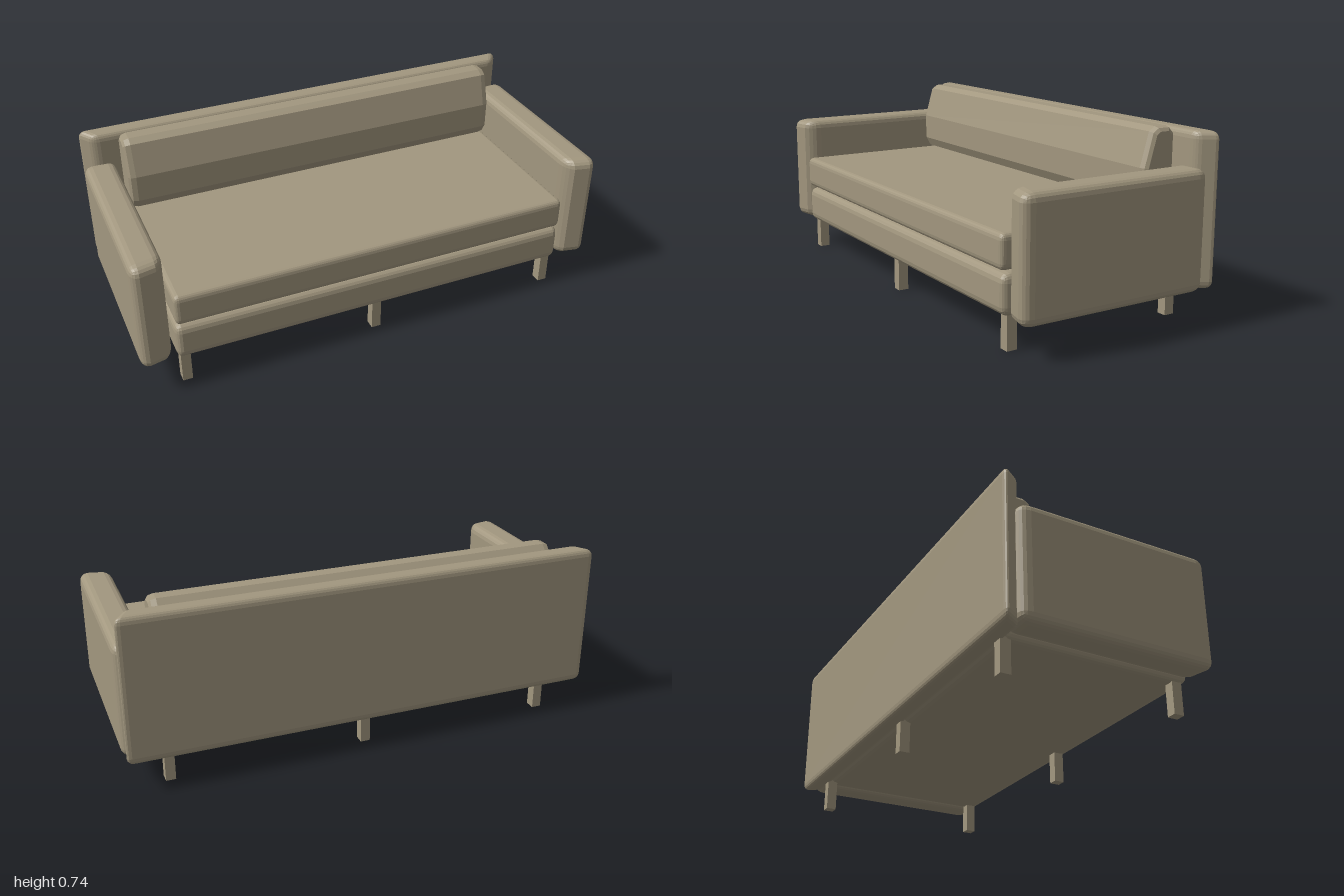
import * as THREE from 'three';
import { RoundedBoxGeometry } from 'three/addons/geometries/RoundedBoxGeometry.js';

const fabric = new THREE.MeshStandardMaterial({ color: 0xa2977f });
fabric.name = 'taupe';

// Soft box between two corners, with a separate rounding radius per axis
// and an optional rule that moves its vertices; faceted normals.
function softBox(name, min, max, radii, rule) {
  const size = max.map((v, i) => v - min[i]);
  const [rx, ry, rz] = radii;
  const geo = new RoundedBoxGeometry(size[0] / rx, size[1] / ry, size[2] / rz, 2, 1);
  geo.scale(rx, ry, rz);
  geo.translate(...min.map((v, i) => (v + max[i]) / 2));
  if (rule) {
    const pos = geo.attributes.position;
    const v = new THREE.Vector3();
    for (let i = 0; i < pos.count; i++) {
      rule(v.fromBufferAttribute(pos, i));
      pos.setXYZ(i, v.x, v.y, v.z);
    }
  }
  geo.computeVertexNormals();
  const mesh = new THREE.Mesh(geo, fabric);
  mesh.name = name;
  return mesh;
}

export function createModel() {
  const sofa = new THREE.Group();
  sofa.name = 'sofa';

  // Base and seat cushion
  sofa.add(softBox('base', [-0.855, 0.13, -0.37], [0.855, 0.288, 0.425], [0.025, 0.035, 0.035]));
  sofa.add(softBox('seatCushion', [-0.85, 0.298, -0.355], [0.85, 0.432, 0.43], [0.02, 0.025, 0.02]));

  // Arms, with the lower back corner drawn in
  for (const side of [-1, 1]) {
    const a = side * 0.865, b = side * 0.998;
    sofa.add(softBox(side > 0 ? 'leftArm' : 'rightArm',
      [Math.min(a, b), 0.13, -0.382], [Math.max(a, b), 0.602, 0.436], [0.034, 0.035, 0.045],
      (v) => {
        // the inner front edge is rounder than the outer one
        if (v.z > 0.3 && side * v.x < 0.92) v.z -= (0.92 - side * v.x) * 0.7;
      }));
  }

  // Back panel, narrower towards its front face
  sofa.add(softBox('backPanel', [-1, 0.13, -0.437], [1, 0.735, -0.355], [0.03, 0.03, 0.02],
    (v) => { v.x *= 1 - 0.055 * (v.z + 0.437) / 0.082; }));

  // Back cushion: leaning side profile swept across the seat
  const bevel = 0.018, end = 0.03, width = 1.69;
  const profile = new THREE.Shape([
    [-0.33, 0.46], [-0.235, 0.46], [-0.222, 0.485], [-0.222, 0.59], [-0.258, 0.715],
    [-0.275, 0.726], [-0.315, 0.726], [-0.33, 0.71],
  ].map(([z, y]) => new THREE.Vector2(z, y)));
  const cushionGeo = new THREE.ExtrudeGeometry(profile, {
    depth: width - 2 * end, bevelEnabled: true, bevelSegments: 2,
    bevelSize: bevel, bevelThickness: end,
  });
  cushionGeo.translate(0, 0, -(width - 2 * end) / 2);
  cushionGeo.rotateY(-Math.PI / 2);
  const cushion = new THREE.Mesh(cushionGeo, fabric);
  cushion.name = 'backCushion';
  sofa.add(cushion);

  // Six square legs
  const legGeo = new THREE.BoxGeometry(0.04, 0.14, 0.043);
  for (const x of [-0.82, 0, 0.82]) {
    for (const z of [0.377, -0.356]) {
      const leg = new THREE.Mesh(legGeo, fabric);
      leg.name = z > 0 ? 'frontLeg' : 'backLeg';
      leg.position.set(x, 0.07, z);
      sofa.add(leg);
    }
  }
  return sofa;
}
